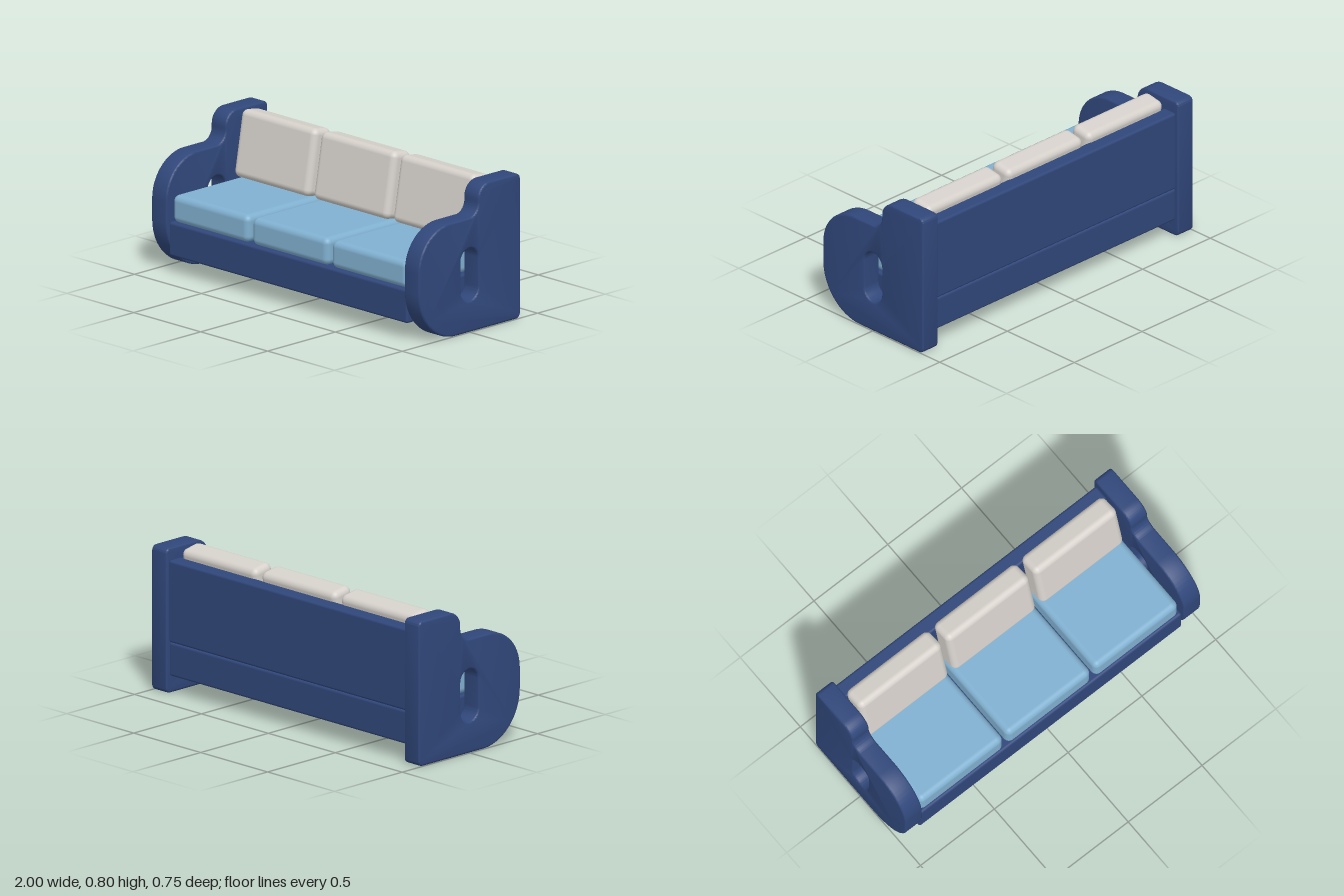
import * as THREE from 'three';
import { toCreasedNormals } from 'three/addons/utils/BufferGeometryUtils.js';
import { RoundedBoxGeometry } from 'three/addons/geometries/RoundedBoxGeometry.js';

const material = (name, color) => {
  const m = new THREE.MeshStandardMaterial({ color });
  m.name = name;
  return m;
};

// Side panel: curved front, stepped top and a handle slot, drawn in (z, y)
function sidePanelGeometry(thickness) {
  const bevel = 0.01;
  const s = new THREE.Shape();
  s.moveTo(-0.345, 0);
  s.lineTo(0.1, 0);
  s.absellipse(0.1, 0.28, 0.275, 0.28, -Math.PI / 2, 0, false);
  s.lineTo(0.375, 0.39);
  s.absellipse(0.14, 0.39, 0.235, 0.235, 0, Math.PI / 2, false);
  s.lineTo(0, 0.625);
  s.absellipse(0, 0.695, 0.065, 0.07, -Math.PI / 2, -Math.PI, true);
  s.lineTo(-0.065, 0.71);
  s.absellipse(-0.15, 0.71, 0.085, 0.085, 0, Math.PI / 2, false);
  s.lineTo(-0.345, 0.795);
  s.absarc(-0.345, 0.765, 0.03, Math.PI / 2, Math.PI, false);
  s.lineTo(-0.375, 0.03);
  s.absarc(-0.345, 0.03, 0.03, Math.PI, Math.PI * 1.5, false);

  const slot = new THREE.Path();
  slot.absarc(0, 0.395, 0.065, 0, Math.PI, false);
  slot.absarc(0, 0.235, 0.065, Math.PI, Math.PI * 2, false);
  slot.closePath();
  s.holes.push(slot);

  const geometry = new THREE.ExtrudeGeometry(s, {
    depth: thickness - 2 * bevel, curveSegments: 20, bevelEnabled: true,
    bevelThickness: bevel, bevelSize: bevel, bevelOffset: -bevel, bevelSegments: 3,
  });
  geometry.translate(0, 0, bevel - thickness / 2);
  geometry.rotateY(-Math.PI / 2);
  return toCreasedNormals(geometry, 0.6);
}

export function createModel() {
  const sofa = new THREE.Group();
  sofa.name = 'sofa';
  const navy = material('navy frame', 0x30477a);
  const blue = material('light blue seat', 0x80b0d0);
  const cream = material('warm grey back cushion', 0xd5d0ca);

  const add = (name, geometry, mat, x, y, z) => {
    const mesh = new THREE.Mesh(geometry, mat);
    mesh.name = name;
    mesh.position.set(x, y, z);
    sofa.add(mesh);
    return mesh;
  };

  // Frame
  const panel = sidePanelGeometry(0.113);
  add('leftSidePanel', panel, navy, 0.9435, 0, 0);
  add('rightSidePanel', panel, navy, -0.9435, 0, 0);
  add('base', new RoundedBoxGeometry(1.78, 0.185, 0.712, 3, 0.014), navy, 0, 0.1885, 0);
  add('backrest', new RoundedBoxGeometry(1.78, 0.45, 0.09, 3, 0.014), navy, 0, 0.505, -0.313);

  // Three seats, each with a leaning back cushion
  const seat = new RoundedBoxGeometry(0.568, 0.15, 0.615, 5, 0.035);
  const back = new RoundedBoxGeometry(0.56, 0.365, 0.135, 5, 0.035);
  for (const i of [-1, 0, 1]) {
    add('seatCushion', seat, blue, i * 0.593, 0.355, 0.04);
    add('backCushion', back, cream, i * 0.593, 0.61, -0.193).rotation.x = -0.175;
  }
  return sofa;
}
